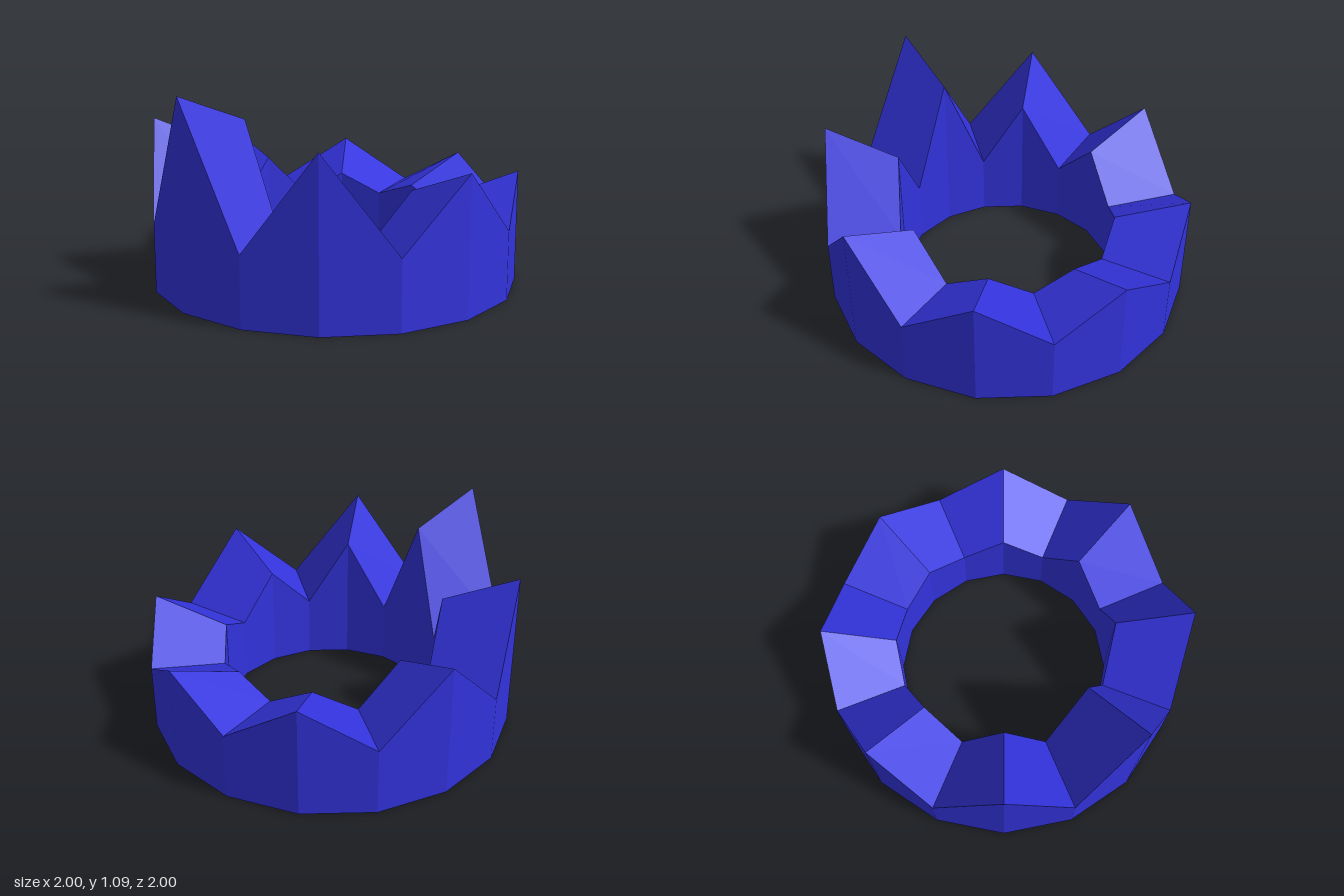
import * as THREE from 'three';

const SIDES = 16;
const OUTER = 1, INNER = 0.6;
// Peak heights from the front point round to the back point, mirrored left and right
const PEAKS = [1.09, 0.88, 0.735, 0.61, 0.58];
const VALLEY_OUTER = 0.37, VALLEY_INNER = 0.35, PEAK_DROP = 0.15;

// Four-corner cross-section of the band: outer foot, outer rim, inner rim, inner foot
function section(i) {
  const a = (i / SIDES) * Math.PI * 2;
  const at = (r, y) => new THREE.Vector3(Math.sin(a) * r, y, Math.cos(a) * r);
  const j = i % SIDES;
  const isPeak = j % 2 === 0;
  const peak = PEAKS[Math.min(j, SIDES - j) / 2];
  return [
    at(OUTER, 0),
    at(OUTER, isPeak ? peak : VALLEY_OUTER),
    at(INNER, isPeak ? peak - PEAK_DROP : VALLEY_INNER),
    at(INNER, 0),
  ];
}

// Joins neighbouring cross-sections with flat quads, one normal per quad
function bandGeometry() {
  const positions = [], normals = [];
  for (let i = 0; i < SIDES; i++) {
    const s = section(i), t = section(i + 1);
    for (let k = 0; k < 4; k++) {
      const n = (k + 1) % 4;
      const [a, b, c, d] = [s[k], t[k], t[n], s[n]];
      const normal = c.clone().sub(a).cross(d.clone().sub(b)).normalize();
      for (const p of [a, b, c, a, c, d]) {
        positions.push(p.x, p.y, p.z);
        normals.push(normal.x, normal.y, normal.z);
      }
    }
  }
  const geometry = new THREE.BufferGeometry();
  geometry.setAttribute('position', new THREE.Float32BufferAttribute(positions, 3));
  geometry.setAttribute('normal', new THREE.Float32BufferAttribute(normals, 3));
  return geometry;
}

export function createModel() {
  const group = new THREE.Group();
  group.name = 'crown';
  const band = new THREE.Mesh(bandGeometry(), new THREE.MeshStandardMaterial({ color: 0x3333dd }));
  band.name = 'pointedBand';
  group.add(band);
  return group;
}
